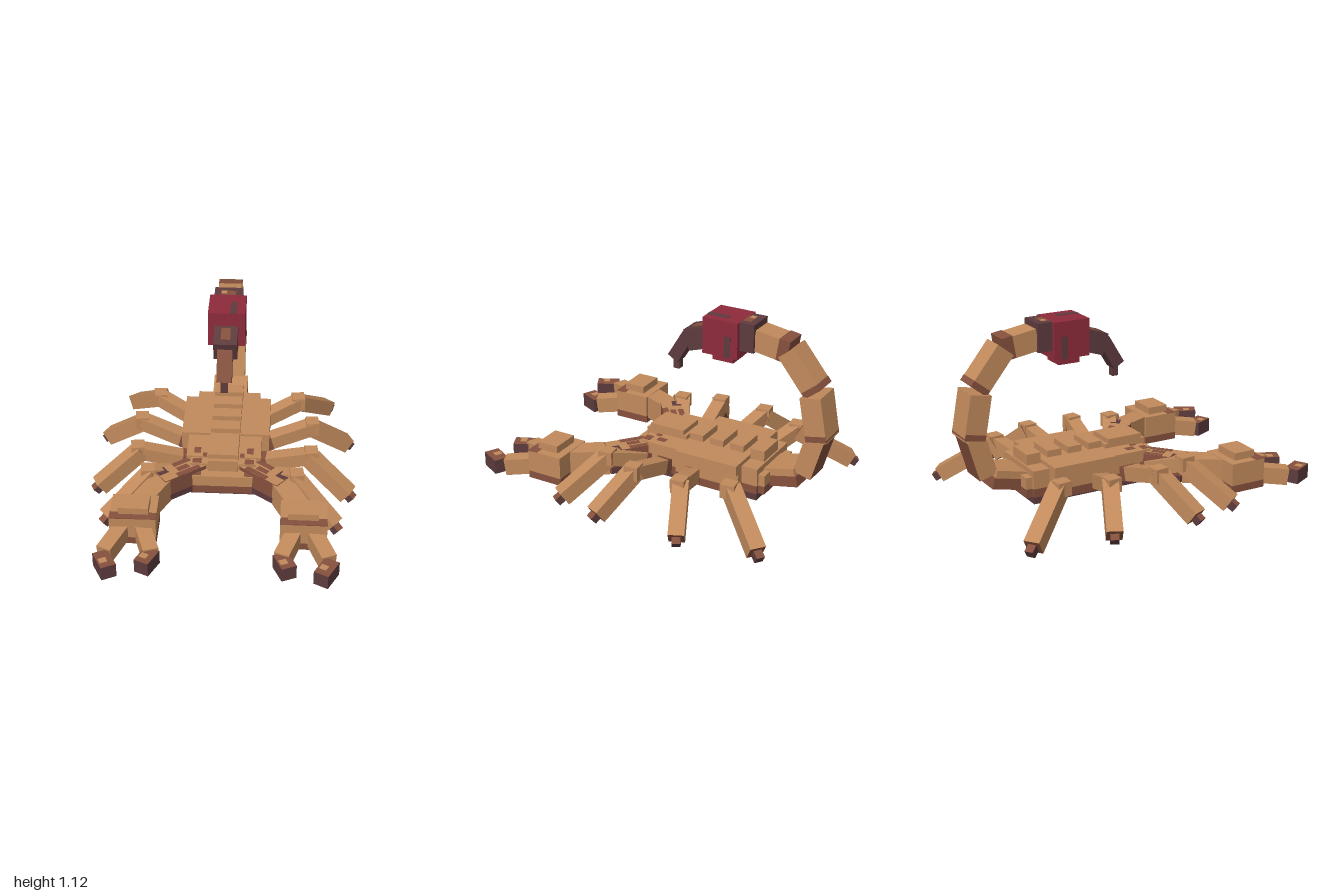
import * as THREE from 'three';

const mat = (name, color) => {
  const m = new THREE.MeshStandardMaterial({ color });
  m.name = name;
  return m;
};

export function createModel() {
  const root = new THREE.Group();
  root.name = 'scorpion';
  const tan = mat('tan shell', 0xc18a5c);
  const rust = mat('rust brown', 0x85503d);
  const dark = mat('dark brown', 0x5d3b3d);
  const red = mat('venom red', 0x8e2b3b);

  // Face order: +x, -x, top, bottom, front, back
  const skin = (side, top, bottom, front = side, back = side) => [side, side, top, bottom, front, back];

  // Axis-aligned box given by its limits
  const box = (parent, name, x0, x1, y0, y1, z0, z1, m) => {
    const mesh = new THREE.Mesh(new THREE.BoxGeometry(x1 - x0, y1 - y0, z1 - z0), m);
    mesh.position.set((x0 + x1) / 2, (y0 + y1) / 2, (z0 + z1) / 2);
    mesh.name = name;
    parent.add(mesh);
    return mesh;
  };
  // Box running from point a to point b
  const limb = (parent, name, a, b, w, h, m) => {
    const p = new THREE.Vector3(...a), q = new THREE.Vector3(...b);
    const mesh = new THREE.Mesh(new THREE.BoxGeometry(w, h, p.distanceTo(q)), m);
    mesh.position.copy(p).add(q).multiplyScalar(0.5);
    mesh.lookAt(q);
    mesh.name = name;
    parent.add(mesh);
    return mesh;
  };

  // Body: dark belly, rust lower band, stepped tan shell
  const body = new THREE.Group();
  body.name = 'body';
  root.add(body);
  box(body, 'belly', -0.2, 0.2, 0.09, 0.13, -0.63, 0.18, dark);
  [
    [0.18, -0.67, 0.225, 0.25],
    [0.198, -0.63, 0.15, 0.29],
    [0.225, -0.53, 0.09, 0.3],
    [0.27, -0.53, -0.13, 0.315],
  ].forEach(([w, z0, z1, top]) => {
    box(body, 'lowerShell', -w, w, 0.13, 0.18, z0, z1, skin(rust, rust, dark));
    box(body, 'upperShell', -w, w, 0.18, top, z0, z1, tan);
  });
  box(body, 'headPlate', -0.09, 0.09, 0.25, 0.325, -0.1, 0.17, tan);
  [[-0.08, 0.145], [-0.215, -0.125], [-0.35, -0.26], [-0.485, -0.395], [-0.62, -0.53]]
    .forEach(([z0, z1]) => box(body, 'backRidge', -0.09, 0.09, 0.28, 0.355, z0, z1, tan));

  // Tail curling up and over the back
  const tail = new THREE.Group();
  tail.name = 'tail';
  root.add(tail);
  limb(tail, 'tailBaseLower', [0, 0.175, -0.6], [0, 0.225, -0.84], 0.22, 0.065, rust);
  limb(tail, 'tailBaseUpper', [0, 0.23, -0.6], [0, 0.28, -0.82], 0.22, 0.045, tan);
  const segments = [
    [-0.858, 0.263, -0.928, 0.504, 0.175, 0.115, skin(tan, tan, rust)],
    [-0.938, 0.488, -0.89, 0.756, 0.18, 0.13, skin(tan, tan, rust)],
    [-0.895, 0.777, -0.724, 0.992, 0.145, 0.12, tan],
    [-0.735, 0.99, -0.525, 1.024, 0.14, 0.13, tan],
  ];
  segments.forEach(([z0, y0, z1, y1, w, h, m]) =>
    limb(tail, 'tailSegment', [0, y0, z0], [0, y1, z1], w, h, m));
  // Rust joints between the segments
  [[-0.938, 0.495, -0.931, 0.53, 0.184, 0.128],
    [-0.899, 0.776, -0.875, 0.806, 0.149, 0.118],
    [-0.738, 0.992, -0.672, 1.003, 0.144, 0.134]]
    .forEach(([z0, y0, z1, y1, w, h]) =>
      limb(tail, 'tailJoint', [0, y0, z0], [0, y1, z1], w, h, rust));
  box(tail, 'venomCollar', -0.085, 0.085, 0.95, 1.12, -0.53, -0.44, dark);
  box(tail, 'collarPatch', -0.045, 0.045, 1.118, 1.121, -0.49, -0.44, rust);
  box(tail, 'collarSpot', -0.045, -0.01, 1.12, 1.123, -0.485, -0.455, tan);
  box(tail, 'venomSac', -0.11, 0.11, 0.9, 1.12, -0.44, -0.215, red);
  box(tail, 'venomSacBase', -0.07, 0.07, 0.855, 0.9, -0.395, -0.26, red);
  box(tail, 'sacStripe', 0.02, 0.06, 1.118, 1.122, -0.35, -0.215, dark);
  for (const x of [-0.112, 0.109]) box(tail, 'sacSideStripe', x, x + 0.003, 0.9, 1.03, -0.395, -0.355, dark);
  const stingerRoot = limb(tail, 'stingerRoot', [0, 0.98, -0.225], [0, 0.935, -0.085], 0.14, 0.13, dark);
  box(stingerRoot, 'stingerRootPatch', -0.028, 0.028, 0.064, 0.067, -0.055, 0.035, rust);
  limb(tail, 'stinger', [0, 0.955, -0.08], [0, 0.79, 0.02], 0.09, 0.075, skin(dark, rust, dark));
  box(tail, 'stingerTip', -0.022, 0.022, 0.72, 0.81, -0.012, 0.026, dark);

  // Walking legs: hip, knee and foot [x, z], foot height
  const legs = [
    [[0.16, -0.45], [0.45, -0.58], [0.665, -0.89], 0.02],
    [[0.2, -0.23], [0.54, -0.31], [0.79, -0.435], 0.04],
    [[0.18, -0.04], [0.535, 0], [0.79, 0.125], 0.04],
    [[0.17, 0.08], [0.45, 0.23], [0.7, 0.43], 0.032],
  ];
  const legSkin = skin(tan, tan, rust, rust, rust);

  for (const s of [1, -1]) {
    const side = s > 0 ? 'left' : 'right';
    legs.forEach(([hip, knee, foot, footY]) => {
      const leg = new THREE.Group();
      leg.name = side + 'Leg';
      root.add(leg);
      const h = [s * hip[0], 0.17, hip[1]];
      const k = [s * knee[0], 0.265, knee[1]], f = [s * foot[0], footY, foot[1]];
      const mix = (a, b, t) => a.map((v, i) => v + (b[i] - v) * t);
      const ankle = mix(k, f, 0.89);
      limb(leg, 'upperLeg', h, k, 0.085, 0.085, legSkin);
      limb(leg, 'hipBand', mix(h, k, 0.1), mix(h, k, 0.24), 0.088, 0.088, rust);
      limb(leg, 'lowerLeg', [k[0] - s * 0.025, 0.265, k[2]], ankle, 0.093, 0.095, legSkin);
      const cap = limb(leg, 'knee', [k[0] - s * 0.045, 0.268, k[2]], [k[0] + s * 0.035, 0.268, k[2]], 0.085, 0.085, tan);
      cap.rotateY(0.12);
      limb(leg, 'foot', ankle, f, 0.05, 0.05, skin(dark, rust, dark));
    });

    // Pincer arm
    const arm = new THREE.Group();
    arm.name = side + 'Arm';
    root.add(arm);
    const span = (parent, name, x0, x1, ...rest) =>
      s > 0 ? box(parent, name, x0, x1, ...rest) : box(parent, name, -x1, -x0, ...rest);
    const shoulder = limb(arm, 'shoulder', [s * 0.13, 0.2, 0.09], [s * 0.37, 0.205, 0.28], 0.13, 0.15, skin(rust, tan, dark));
    // Mottled rust and dark patches on the shoulder; local +x is mirrored with the arm
    [[-0.064, -0.03, -0.1, 0.06, rust], [0.03, 0.064, -0.09, 0.03, rust], [-0.02, 0.015, -0.05, 0.03, rust],
      [0.005, 0.064, 0.085, 0.15, dark], [-0.02, 0.01, -0.13, -0.075, dark]]
      .forEach(([x0, x1, z0, z1, m]) => span(shoulder, 'shoulderPatch', x0, x1, 0.074, 0.077, z0, z1, m));
    for (const x of [-0.0665, 0.0635]) box(shoulder, 'shoulderBand', x, x + 0.003, -0.075, -0.035, -0.15, 0.15, dark);
    // Rust patches where the shoulders meet the head
    [[0.13, 0.185, 0.289, 0.292, 0.1, 0.145], [0.14, 0.18, 0.299, 0.302, 0.0, 0.055],
      [0.1, 0.125, 0.299, 0.302, 0.055, 0.09], [0.13, 0.175, 0.249, 0.252, 0.17, 0.215]]
      .forEach(p => span(body, 'headPatch', ...p, rust));
    limb(arm, 'forearm', [s * 0.355, 0.2, 0.27], [s * 0.47, 0.19, 0.5], 0.13, 0.15, skin(tan, tan, rust));

    // Hand with rust underside and front strip
    span(arm, 'handBase', 0.355, 0.625, 0.09, 0.135, 0.45, 0.675, rust);
    span(arm, 'hand', 0.355, 0.625, 0.135, 0.27, 0.45, 0.675, tan);
    span(arm, 'handStrip', 0.355, 0.625, 0.268, 0.273, 0.615, 0.675, rust);
    span(arm, 'handPlate', 0.4, 0.575, 0.27, 0.315, 0.5, 0.635, tan);

    // Two-jointed fingers: base, knuckle, tip start, tip end as [x, z]
    [[[0.555, 0.65], [0.635, 0.835], [0.655, 0.855], [0.59, 0.98]],
      [[0.435, 0.65], [0.37, 0.83], [0.36, 0.815], [0.415, 0.935]]]
      .forEach(([a, b, c, d]) => {
        limb(arm, 'finger', [s * a[0], 0.163, a[1]], [s * b[0], 0.138, b[1]], 0.09, 0.1, skin(tan, tan, rust));
        const tip = limb(arm, 'fingerTip', [s * c[0], 0.133, c[1]], [s * d[0], 0.133, d[1]], 0.09, 0.088, skin(dark, rust, dark));
        box(tip, 'fingerSpot', -0.035, 0.01, 0.043, 0.046, -0.01, 0.03, tan);
      });
  }
  return root;
}
